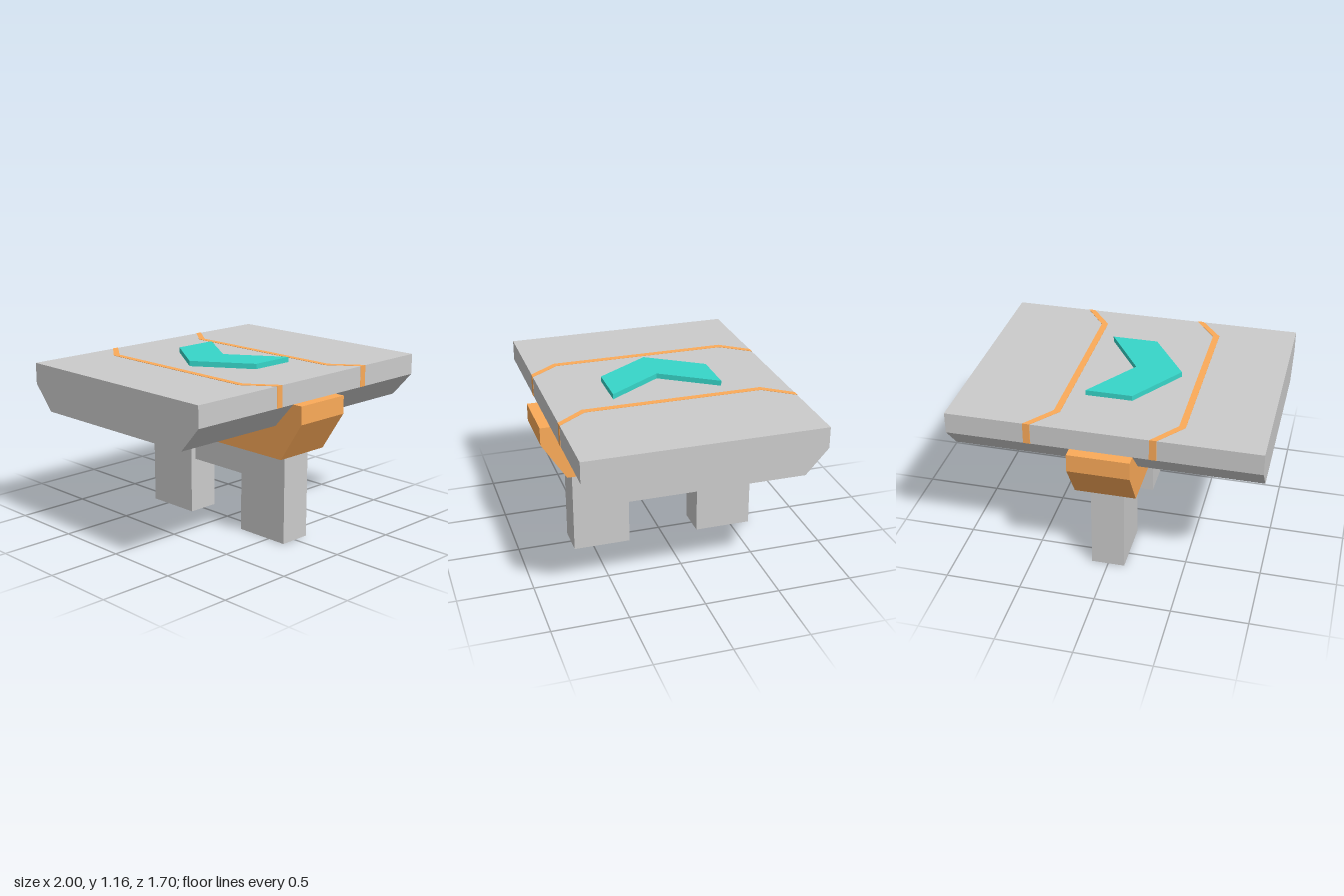
import * as THREE from 'three';

const grey = new THREE.MeshStandardMaterial({ color: 0xcccccc, flatShading: true });
const orange = new THREE.MeshStandardMaterial({ color: 0xfcab59, flatShading: true });
const teal = new THREE.MeshStandardMaterial({ color: 0x37d6c9, flatShading: true });

const extrude = (points, depth) => new THREE.ExtrudeGeometry(
  new THREE.Shape(points.map(([x, y]) => new THREE.Vector2(x, y))),
  { depth, bevelEnabled: false });

// Side profile given as (z, y), extruded across x and centred
const acrossX = (points, width) => extrude(points, width).translate(0, 0, -width / 2).rotateY(-Math.PI / 2);

// Plan outline given as (x, z), extruded downwards from the given top
const plan = (points, top, height) => extrude(points, height).rotateX(Math.PI / 2).translate(0, top, 0);

// Completes half a (z, y) profile by mirroring it in z
const mirrored = (half) => [...half, ...half.map(([z, y]) => [-z, y]).reverse()];

export function createModel() {
  const model = new THREE.Group();
  const add = (name, geometry, material) => {
    const mesh = new THREE.Mesh(geometry, material);
    mesh.name = name;
    model.add(mesh);
    return mesh;
  };

  // Deck slab with chamfered lower edges
  add('deck', acrossX(mirrored([[0.635, 0.82], [0.783, 0.985], [0.783, 1.125]]), 2), grey);

  // Cradle hugging the underside of the deck
  add('cradle', acrossX(mirrored([
    [0.685, 0.605], [0.852, 0.865], [0.852, 0.985], [0.783, 0.985], [0.635, 0.82],
  ]), 0.4), orange);

  // Two legs and the narrower bar between them
  for (const side of [1, -1]) {
    add(side > 0 ? 'frontLeg' : 'backLeg', new THREE.BoxGeometry(0.22, 0.605, 0.39), grey)
      .position.set(0, 0.3025, side * 0.44);
  }
  add('crossbar', new THREE.BoxGeometry(0.14, 0.225, 0.49), grey).position.y = 0.4925;

  // Bent stripes inlaid in the deck, running down its front and back faces
  const end = 0.785;
  for (const [name, x] of [['rightStripe', -0.49], ['leftStripe', 0.305]]) {
    add(name, plan([
      [x + 0.143, -end], [x + 0.188, -end], [x + 0.043, -0.59], [x + 0.043, 0.59],
      [x + 0.188, end], [x + 0.143, end], [x, 0.6], [x, -0.6],
    ], 1.127, 0.142), orange);
  }

  // Raised chevron on top
  add('chevron', plan([
    [-0.345, 0], [-0.1, -0.367], [0.205, -0.367], [-0.04, 0], [0.205, 0.367], [-0.1, 0.367],
  ], 1.16, 0.035), teal);

  return model;
}
